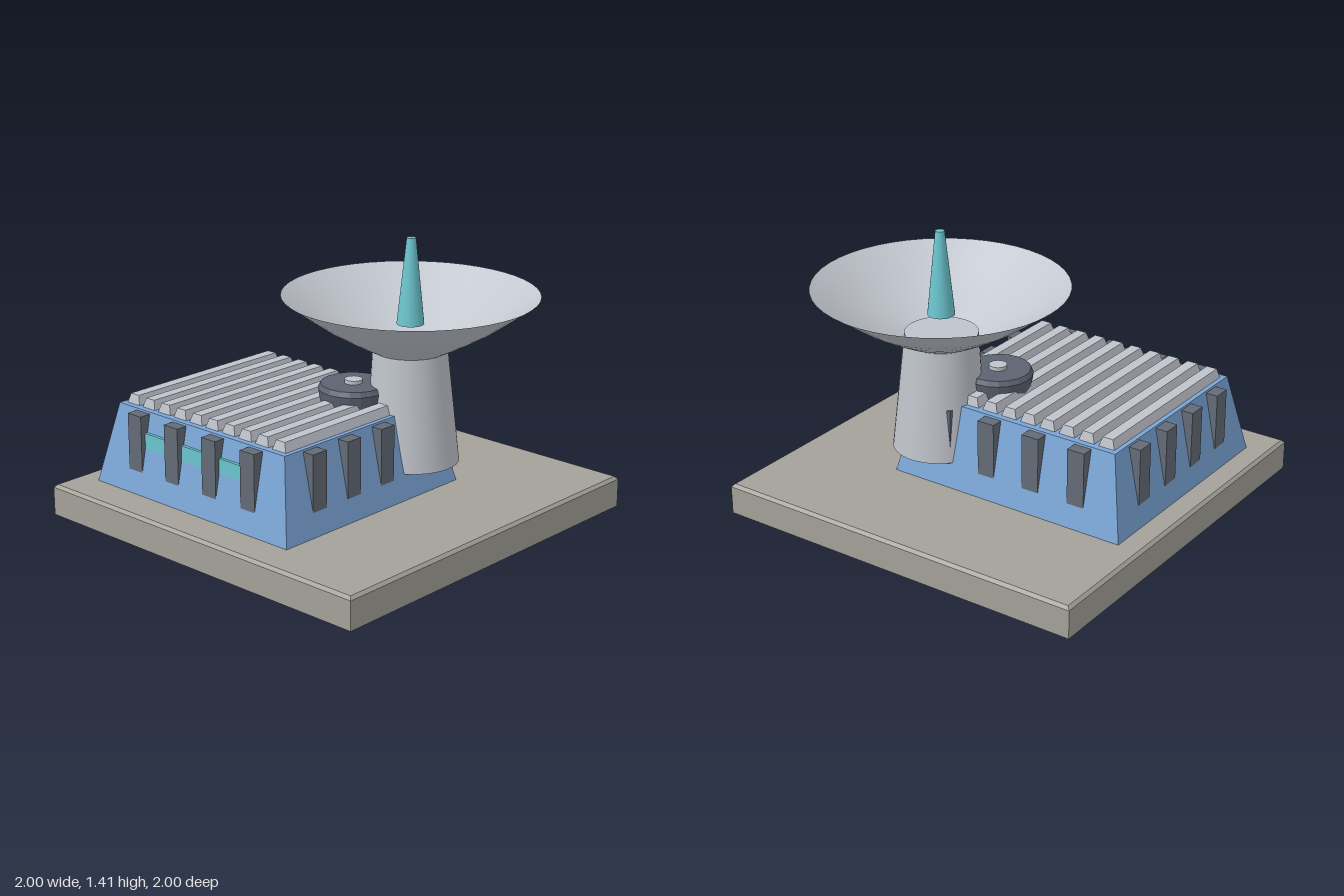
import * as THREE from 'three';

const paint = (name, color, side = THREE.FrontSide) => {
  const m = new THREE.MeshStandardMaterial({ color, side });
  m.name = name;
  return m;
};

// Box whose bottom and top rectangles differ: [x0, x1, z0, z1]
function frustum(bottom, top, y0, y1) {
  const g = new THREE.BoxGeometry(1, 1, 1);
  const p = g.attributes.position;
  for (let i = 0; i < p.count; i++) {
    const up = p.getY(i) > 0;
    const r = up ? top : bottom;
    p.setXYZ(i, p.getX(i) < 0 ? r[0] : r[1], up ? y1 : y0, p.getZ(i) < 0 ? r[2] : r[3]);
  }
  g.computeVertexNormals();
  return g;
}

export function createModel() {
  const model = new THREE.Group();
  model.name = 'radarStation';
  const stone = paint('stone', 0xa3a198);
  const blue = paint('blue wall', 0x7ba5d6);
  const slate = paint('slate', 0x646b76);
  const darkSlate = paint('dark slate', 0x5c6270);
  const lightGrey = paint('light grey', 0xbfc3cb);
  const dishGrey = paint('dish grey', 0xc3c7cf, THREE.DoubleSide);
  const cyan = paint('cyan', 0x6cc5cf);

  const add = (name, geometry, material, x = 0, y = 0, z = 0, parent = model) => {
    const mesh = new THREE.Mesh(geometry, material);
    mesh.name = name;
    mesh.position.set(x, y, z);
    parent.add(mesh);
    return mesh;
  };
  const group = (name) => {
    const g = new THREE.Group();
    g.name = name;
    model.add(g);
    return g;
  };

  // Ground slab with a small bevel around its top
  const slab = [-1, 1, -1, 1];
  add('slab', frustum(slab, slab, 0, 0.145), stone);
  add('slabBevel', frustum(slab, [-0.985, 0.985, -0.985, 0.985], 0.145, 0.16), stone);

  // Sloped building
  add('building', frustum([-0.88, 0.43, -0.41, 0.81], [-0.795, 0.34, -0.32, 0.725], 0.16, 0.57), blue);

  // Roof ribs
  const ribs = group('roofRibs');
  for (let i = 0; i < 10; i++) {
    const x = -0.728 + i * 0.1112;
    add('rib', frustum([x - 0.045, x + 0.045, -0.29, 0.695], [x - 0.028, x + 0.028, -0.278, 0.683], 0.565, 0.617),
      lightGrey, 0, 0, 0, ribs);
  }

  // Wall buttresses, four on each side
  const buttresses = group('buttresses');
  const alongX = new THREE.BoxGeometry(0.093, 0.29, 0.09);
  const alongZ = new THREE.BoxGeometry(0.09, 0.29, 0.093);
  for (let i = 0; i < 4; i++) {
    const x = -0.62 + i * 0.2585;
    const z = -0.155 + i * 0.238;
    add('frontButtress', alongX, slate, x, 0.415, 0.742, buttresses);
    add('backButtress', alongX, slate, x, 0.415, -0.34, buttresses);
    add('rightButtress', alongZ, slate, -0.815, 0.415, z, buttresses);
    add('leftButtress', alongZ, slate, 0.36, 0.415, z, buttresses);
  }

  // Lit strip window across the front
  add('frontWindow', new THREE.BoxGeometry(0.71, 0.08, 0.03), cyan, -0.225, 0.43, 0.747);

  // Roof vent with a chamfered rim and small cap
  const vent = [[0, 0], [0.163, 0], [0.176, 0.08], [0.163, 0.105], [0, 0.105]]
    .map(([r, y]) => new THREE.Vector2(r, y));
  const ventMaterial = darkSlate;
  ventMaterial.flatShading = true;
  add('roofVent', new THREE.LatheGeometry(vent, 20), ventMaterial, 0.065, 0.575, -0.045);
  add('ventCap', new THREE.CylinderGeometry(0.045, 0.045, 0.02, 20), lightGrey, 0.065, 0.689, -0.045);

  // Dish tower, leaning very slightly
  const tower = new THREE.CylinderGeometry(0.182, 0.233, 0.605, 40);
  const p = tower.attributes.position;
  for (let i = 0; i < p.count; i++) {
    if (p.getY(i) < 0) p.setXYZ(i, p.getX(i) + 0.013, p.getY(i), p.getZ(i) - 0.011);
  }
  add('dishTower', tower, lightGrey, 0.27, 0.5875, -0.23);

  // Open dish
  const dish = [[0.182, 0.85], [0.26, 0.89], [0.35, 0.94], [0.43, 0.988], [0.5, 1.037], [0.56, 1.08], [0.632, 1.132]]
    .map(([r, y]) => new THREE.Vector2(r, y));
  add('dish', new THREE.LatheGeometry(dish, 48), dishGrey, 0.27, 0, -0.23);

  // Tapered antenna above the dish centre
  add('antenna', new THREE.CylinderGeometry(0.023, 0.068, 0.43, 24), cyan, 0.27, 1.197, -0.23);

  return model;
}
